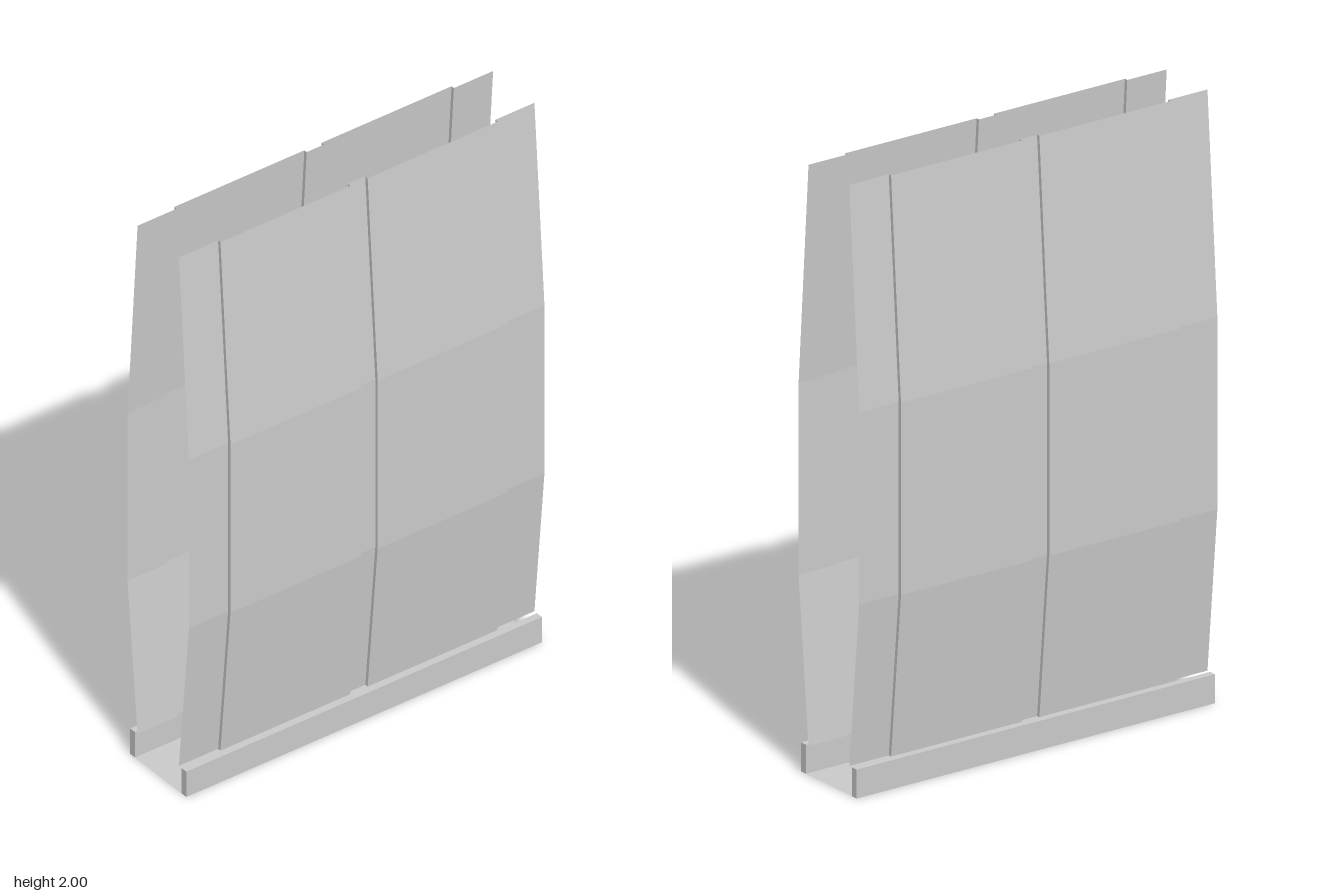
import * as THREE from 'three';

const material = new THREE.MeshStandardMaterial({ color: 0xcccccc, flatShading: true, side: THREE.DoubleSide });

// bowed side profile: [y, z of the raised panels]
const profile = [[0.095, 0.117], [0.64, 0.168], [1.27, 0.168], [2, 0.117]];
// stepped section across the width: [x, depth of the recess]
const recess = 0.012;
const half = [[0.033, recess], [0.033, 0], [0.53, 0], [0.53, recess], [0.68, recess]];
const section = [...half.map(([x, d]) => [-x, d]).reverse(), ...half];

// thin sheet swept along the profile
function sheetGeometry() {
  const positions = [], indices = [];
  const n = section.length;
  for (const [y, z] of profile)
    for (const [x, d] of section) positions.push(x, y, z - d);
  for (let j = 0; j < profile.length - 1; j++)
    for (let i = 0; i < n - 1; i++) {
      const a = j * n + i, b = a + 1, c = a + n, d = c + 1;
      indices.push(a, b, d, a, d, c);
    }
  const geometry = new THREE.BufferGeometry();
  geometry.setAttribute('position', new THREE.Float32BufferAttribute(positions, 3));
  geometry.setIndex(indices);
  const flat = geometry.toNonIndexed();
  flat.computeVertexNormals();
  return flat;
}

export function createModel() {
  const group = new THREE.Group();
  const add = (name, geometry, parent = group) => {
    const mesh = new THREE.Mesh(geometry, material);
    mesh.name = name;
    parent.add(mesh);
    return mesh;
  };

  // front and back bowed sheets
  const sheet = sheetGeometry();
  add('frontSheet', sheet);
  add('backSheet', sheet).rotation.y = Math.PI;

  // open-ended base channel
  const base = new THREE.Group();
  base.name = 'baseChannel';
  group.add(base);
  add('baseFloor', new THREE.PlaneGeometry(1.36, 0.286).rotateX(-Math.PI / 2), base);
  const wall = new THREE.BoxGeometry(1.36, 0.095, 0.025);
  for (const s of [1, -1])
    add(s > 0 ? 'frontBaseWall' : 'backBaseWall', wall, base).position.set(0, 0.0475, s * 0.1305);

  return group;
}
